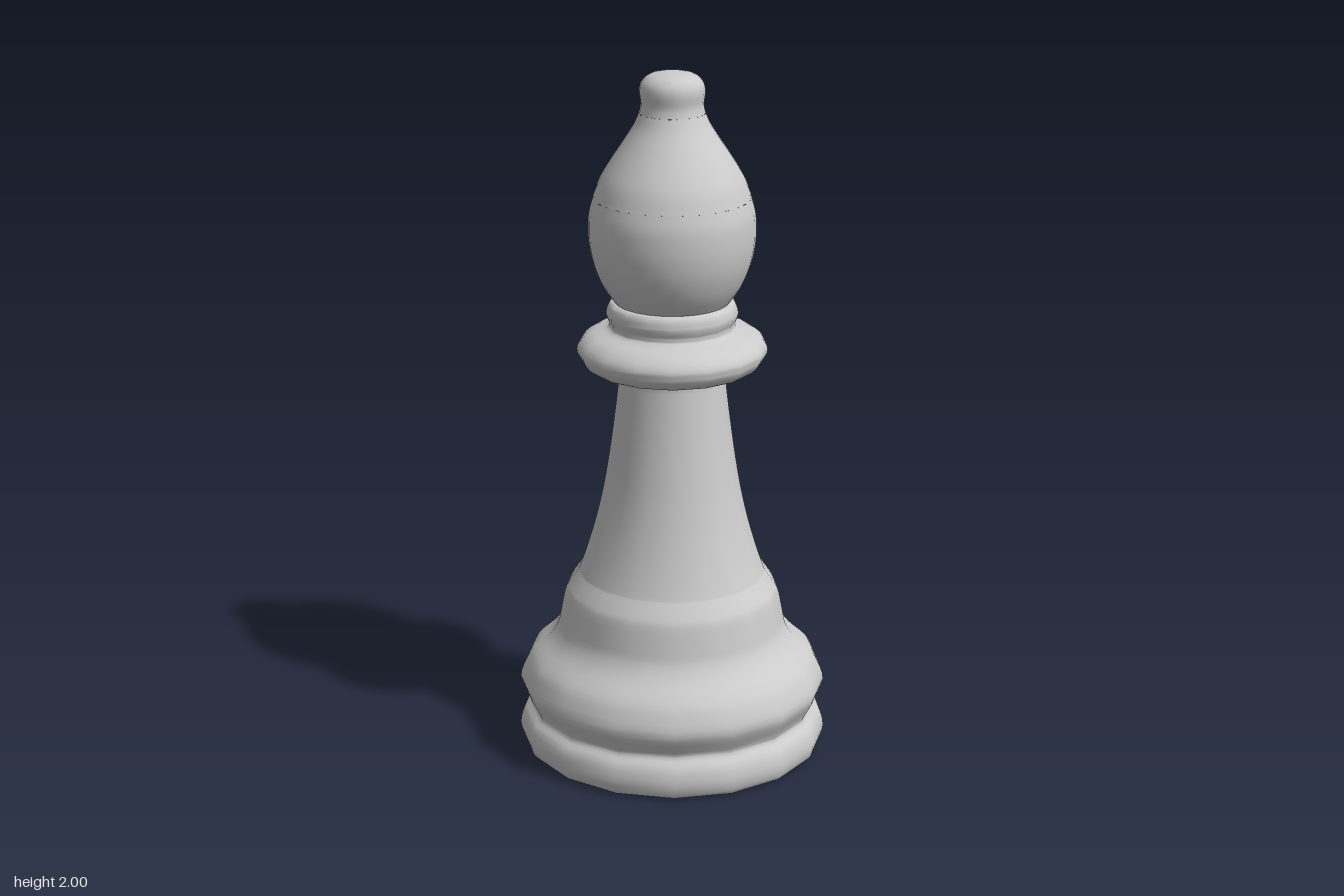
import * as THREE from 'three';
import { toCreasedNormals } from 'three/addons/utils/BufferGeometryUtils.js';

const material = new THREE.MeshStandardMaterial({ color: 0xcccccc });

// Skin a stack of closed rings (bottom to top, equal point counts).
function loft(name, rings) {
  const n = rings[0].length, index = [];
  for (let j = 0; j < rings.length - 1; j++) {
    for (let i = 0; i < n; i++) {
      const a = j * n + i, b = j * n + (i + 1) % n;
      index.push(a, a + n, b, b, a + n, b + n);
    }
  }
  const geometry = new THREE.BufferGeometry();
  geometry.setAttribute('position', new THREE.Float32BufferAttribute(rings.flat(2), 3));
  geometry.setIndex(index);
  const mesh = new THREE.Mesh(toCreasedNormals(geometry, 0.75), material);
  mesh.name = name;
  return mesh;
}

// Horizontal ring; the foot is slightly oval, the upper part round.
function ring(r, y, sides) {
  const f = THREE.MathUtils.smoothstep(y, 0.5, 1);
  const points = [];
  for (let i = 0; i < sides; i++) {
    const u = (i / sides) * 2 * Math.PI - 0.052;
    const a = u + 0.052 - 0.12 * Math.cos(u);
    points.push([r * Math.cos(a), y, r * Math.sin(a) * (0.95 + 0.05 * f) - 0.006 * f]);
  }
  return points;
}

// Smooth a radius/height profile, then turn it.
const smooth = (pts, steps) =>
  new THREE.SplineCurve(pts.map(p => new THREE.Vector2(...p))).getPoints((pts.length - 1) * steps);
const turned = (name, pts, sides = 18, foot = []) =>
  loft(name, [...foot, ...smooth(pts, 3)].map(p => ring(p.x, p.y, sides)));

const BASE = [[0.42, 0], [0.44, 0.012], [0.45, 0.05], [0.44, 0.095], [0.415, 0.123], [0.425, 0.15],
  [0.447, 0.2], [0.432, 0.25], [0.41, 0.285], [0.362, 0.33], [0.335, 0.37], [0.325, 0.41],
  [0.312, 0.475], [0.3, 0.5], [0.272, 0.54]];
const STEM = [[0.272, 0.54], [0.25, 0.6], [0.22, 0.7], [0.197, 0.8], [0.18, 0.9], [0.166, 1],
  [0.154, 1.1], [0.151, 1.14], [0.156, 1.155]];
const COLLAR = [[0.156, 1.155], [0.215, 1.158], [0.245, 1.168], [0.268, 1.2], [0.265, 1.228],
  [0.235, 1.255], [0.187, 1.272], [0.177, 1.285], [0.182, 1.3], [0.186, 1.32], [0.178, 1.345], [0.163, 1.352]];
const HEAD = [[0.163, 1.352], [0.195, 1.4], [0.22, 1.46], [0.232, 1.52], [0.234, 1.57], [0.231, 1.61], [0.22, 1.65]];
const CROWN = [[0.22, 1.65], [0.202, 1.7], [0.173, 1.75], [0.14, 1.8], [0.108, 1.85], [0.092, 1.885]];
const KNOB = [[0.092, 1.885], [0.087, 1.91], [0.091, 1.945], [0.084, 1.972], [0.058, 1.992], [0.0005, 2]];

// Cross-section of the crown on one side of the slot: arc plus flared inner wall.
function slottedRing(r, y, side) {
  const t = THREE.MathUtils.clamp((y - 1.65) / 0.235, 0, 1);
  const zc = THREE.MathUtils.lerp(-0.168, -0.044, t);
  const h = 0.026 * Math.min(1, t * 5) * Math.sqrt(1 - t);
  const wall = s => zc + side * h * (1 + 0.6 * s * s);
  const edge = Math.asin(wall(1) / r);
  const xe = r * Math.cos(edge);
  const from = side > 0 ? edge : Math.PI - edge;
  const to = side > 0 ? Math.PI - edge : 2 * Math.PI + edge;
  const points = [];
  for (let i = 0; i <= 24; i++) {
    const a = from + (to - from) * i / 24;
    points.push([r * Math.cos(a), y, r * Math.sin(a) - 0.006]);
  }
  for (let i = 1; i < 10; i++) {
    const s = side * (i / 5 - 1);
    points.push([s * xe, y, wall(s) - 0.006]);
  }
  return points;
}

export function createModel() {
  const group = new THREE.Group();
  group.name = 'bishopPiece';

  // Foot with a closed underside, stem, collar
  group.add(turned('base', BASE, 18, [{ x: 0.0005, y: 0 }]));
  group.add(turned('stem', STEM));
  group.add(turned('collar', COLLAR));

  // Head: solid bowl, then a crown split by a sloping slot running side to side
  group.add(turned('headBowl', HEAD, 36));
  const crown = smooth(CROWN, 4);
  const split = side => crown.map(p => slottedRing(p.x, p.y, side));
  group.add(loft('headFront', split(1)));
  group.add(loft('headBackFlap', split(-1)));

  // Knob on top
  group.add(turned('knob', KNOB, 24));
  return group;
}
